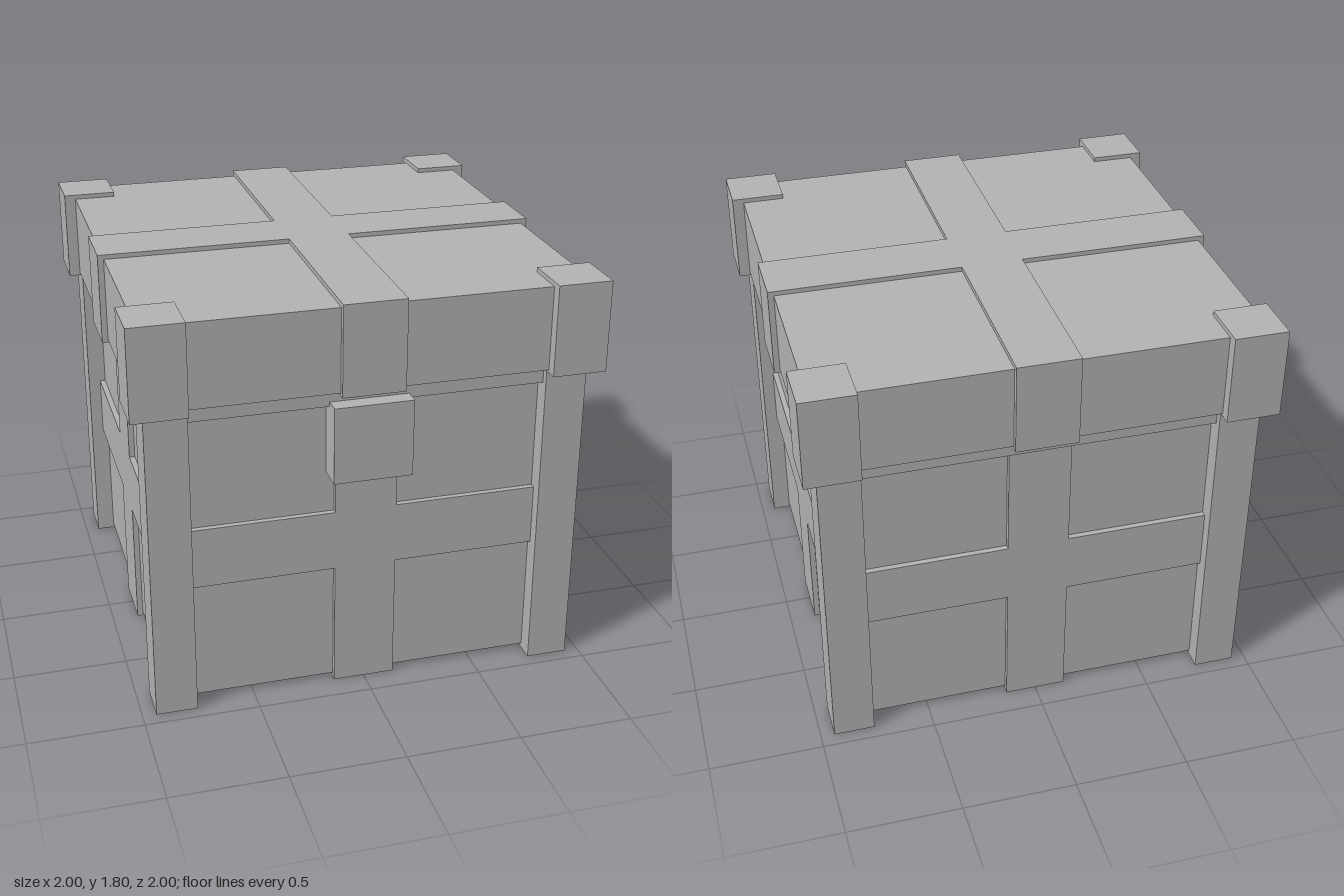
import * as THREE from 'three';

const STRAP = 0.135; // half width of every strap

export function createModel() {
  const model = new THREE.Group();
  model.name = 'crate';
  const grey = new THREE.MeshStandardMaterial({ color: 0xb3b3b3 });
  grey.name = 'grey';

  // box given by its limits on each axis
  function block(name, [x0, x1], [y0, y1], [z0, z1]) {
    const mesh = new THREE.Mesh(new THREE.BoxGeometry(x1 - x0, y1 - y0, z1 - z0), grey);
    mesh.position.set((x0 + x1) / 2, (y0 + y1) / 2, (z0 + z1) / 2);
    mesh.name = name;
    model.add(mesh);
  }
  const both = (h) => [-h, h];
  const side = (s, a, b) => (s > 0 ? [a, b] : [-b, -a]);

  // plus-shaped straps: one full slab and two halves that meet it
  function cross(name, half, y) {
    block(name, both(half), y, both(STRAP));
    for (const s of [-1, 1]) block(name, both(STRAP), y, side(s, STRAP, half));
  }

  // body, with a belt and straps around it and a rim under the lid
  block('bodyPanels', both(0.86), [0.02, 1.34], both(0.86));
  block('bodyBelt', both(0.885), [0.565, 0.835], both(0.885));
  cross('lowerBodyStrap', 0.885, [0, 0.565]);
  cross('upperBodyStrap', 0.885, [0.835, 1.34]);
  block('bodyRim', both(0.91), [1.34, 1.412], both(0.91));

  // lid
  block('lid', both(0.95), [1.412, 1.78], both(0.95));
  cross('lidStrap', 0.976, [1.4, 1.8]);

  // corner posts and lid corner caps
  for (const sx of [-1, 1]) {
    for (const sz of [-1, 1]) {
      block('cornerPost', side(sx, 0.76, 0.94), [0, 1.4], side(sz, 0.76, 0.94));
      block('lidCorner', side(sx, 0.765, 1), [1.4, 1.8], side(sz, 0.765, 1));
    }
  }

  // latch on the front
  block('latch', both(0.17), [1.02, 1.36], [0.86, 0.982]);

  return model;
}
